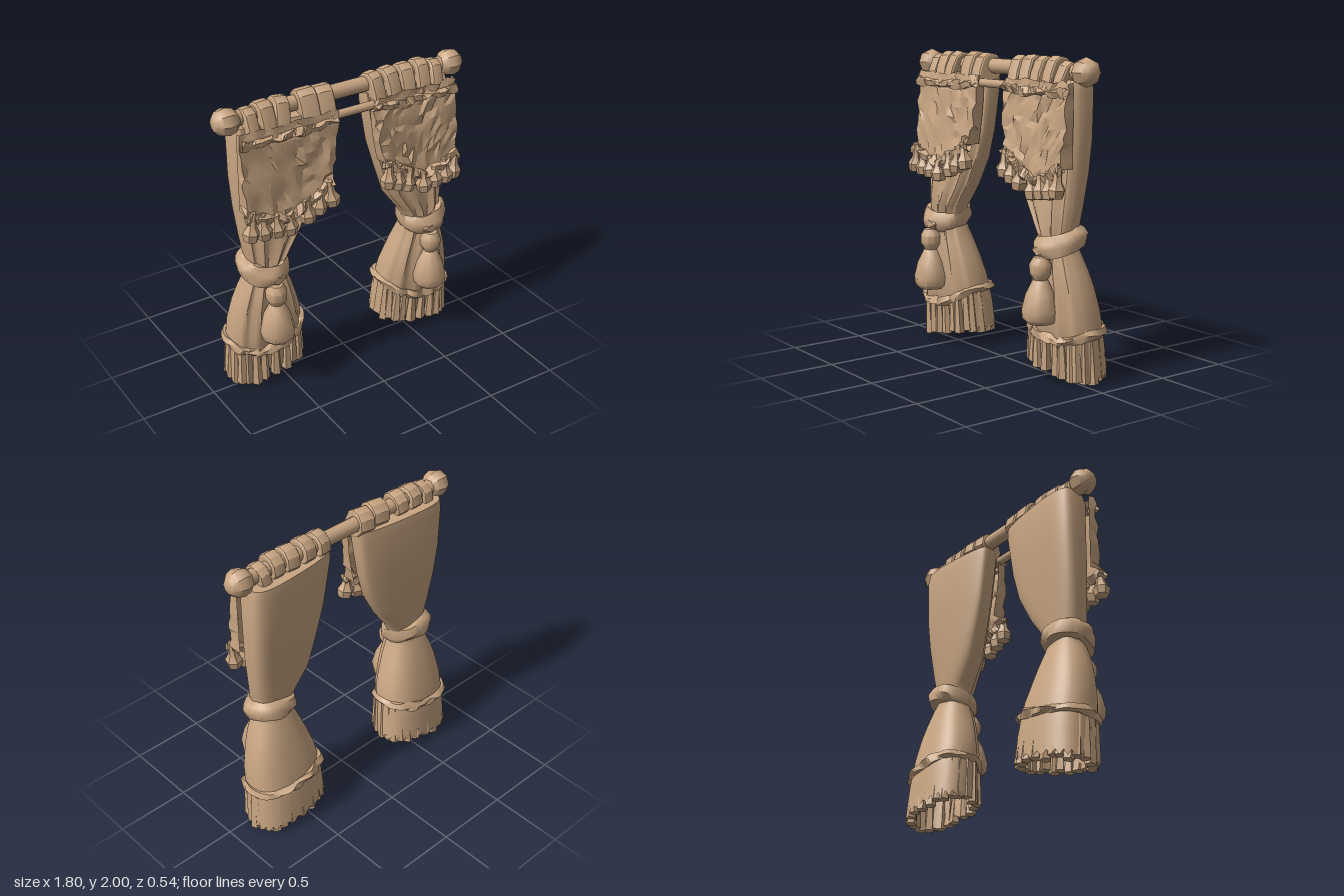
import * as THREE from 'three';
import { toCreasedNormals } from 'three/addons/utils/BufferGeometryUtils.js';

const cloth = new THREE.MeshStandardMaterial({ color: 0xc8a582, side: THREE.DoubleSide });
cloth.name = 'tan cloth';
const { clamp, lerp } = THREE.MathUtils;

// small seeded random, range -1..1
let seed = 7;
const rnd = () => {
  seed = (seed * 16807) % 2147483647;
  return (seed / 2147483647) * 2 - 1;
};

// adds a mesh; side -1 mirrors the geometry across x and restores the winding
function add(group, name, geometry, side = 1, crease = 0.7) {
  let g = geometry.index ? geometry.toNonIndexed() : geometry;
  if (side < 0) {
    const p = g.attributes.position;
    for (let i = 0; i < p.count; i++) p.setX(i, -p.getX(i));
    for (let i = 0; i < p.count; i += 3) {
      const a = new THREE.Vector3().fromBufferAttribute(p, i + 1);
      p.setXYZ(i + 1, p.getX(i + 2), p.getY(i + 2), p.getZ(i + 2));
      p.setXYZ(i + 2, a.x, a.y, a.z);
    }
  }
  g.deleteAttribute('uv');
  g.deleteAttribute('normal');
  g = toCreasedNormals(g, crease);
  const mesh = new THREE.Mesh(g, cloth);
  mesh.name = name;
  group.add(mesh);
}

// surface through rows of points (all rows the same length)
function surface(rows) {
  const n = rows[0].length, index = [];
  for (let r = 0; r < rows.length - 1; r++)
    for (let i = 0; i < n - 1; i++) {
      const a = r * n + i, b = a + 1, c = a + n, d = c + 1;
      index.push(a, c, b, b, c, d);
    }
  const g = new THREE.BufferGeometry().setFromPoints(rows.flat());
  g.setIndex(index);
  return g;
}

// one point of a curtain cross-section: [y, outer x, inner x, back z, front z, squareness]
// low sections rise towards the inner end and sag at the front; high ones thin out at the inner end
function ringPoint([y, xo, xi, zb, zf, p], t) {
  const c = Math.cos(t), s = Math.sin(t);
  const sx = Math.sign(c) * Math.abs(c) ** p, sz = Math.sign(s) * Math.abs(s) ** p;
  const inward = (1 - sx) / 2;
  const depth = s > 0 ? 0.016 * Math.cos(11 * t) * s : -0.055 * sz * inward ** 2 * clamp((y - 1) / 0.5, 0, 1);
  const low = clamp((0.6 - y) / 0.3, 0, 1);
  const sag = y > 0.2 ? 0.085 * Math.max(0, s) ** 2 : 0;
  return new THREE.Vector3((xo + xi) / 2 + (xo - xi) / 2 * sx, y + low * (0.08 * inward - sag),
    (zb + zf) / 2 + (zf - zb) / 2 * sz + depth);
}

// lumpy cord along points
function cord(points, radius, lump, closed = false, sides = 6) {
  const g = new THREE.TubeGeometry(new THREE.CatmullRomCurve3(points, closed), points.length * 2, radius, sides, closed);
  const p = g.attributes.position, ring = sides + 1;
  for (let i = 0; i < p.count; i++) {
    const row = Math.floor(i / ring) % (closed ? points.length * 2 : 1e6), k = (i % ring) % sides;
    const h = Math.sin(row * 12.9 + k * 4.1), m = Math.cos(row * 7.3 + k * 2.7);
    p.setXYZ(i, p.getX(i) + lump * 0.5 * m, p.getY(i) + lump * h, p.getZ(i) + lump * m);
  }
  return g;
}

const lathe = (pts, sides) => new THREE.LatheGeometry(pts.map(([x, y]) => new THREE.Vector2(x, y)), sides);

function curtain(side, inner, tabs) {
  const group = new THREE.Group();
  group.name = side > 0 ? 'leftCurtain' : 'rightCurtain';

  // gathered drape, top to bottom
  const hemRow = [0.32, 0.84, 0.335, -0.235, 0.11, 0.8];
  const profile = [
    [1.86, 0.75, inner + 0.02, -0.04, -0.03, 0.5],
    [1.86, 0.77, inner, -0.14, 0.06, 0.5],
    [1.8, 0.78, inner, -0.15, 0.08, 0.5],
    [1.5, 0.78, inner + 0.05, -0.145, 0.08, 0.55],
    [1.3, 0.77, inner + 0.11, -0.13, 0.09, 0.6],
    [1.1, 0.75, 0.32, -0.11, 0.1, 0.7],
    [0.95, 0.73, 0.43, -0.09, 0.11, 0.8],
    [0.87, 0.71, 0.47, -0.08, 0.1, 0.85],
    [0.8, 0.735, 0.455, -0.11, 0.11, 0.85],
    [0.7, 0.775, 0.415, -0.145, 0.12, 0.82],
    [0.6, 0.805, 0.38, -0.175, 0.12, 0.8],
    [0.45, 0.835, 0.345, -0.21, 0.12, 0.8],
    hemRow,
    [0.2, 0.845, 0.32, -0.25, 0.085, 0.8],
    [0.04, 0.85, 0.31, -0.265, 0.075, 0.8],
  ];
  const N = 48;
  const rows = profile.map((r, k) => Array.from({ length: N + 1 }, (_, i) => {
    const p = ringPoint(r, -i / N * Math.PI * 2);
    if (k === profile.length - 1) p.y += i % 2 ? 0.02 : -0.015; // jagged lower edge
    return p;
  }));
  add(group, 'drape', surface(rows), side, 0.9);

  // hem band
  const hem = Array.from({ length: 28 }, (_, i) => ringPoint(hemRow, i / 28 * Math.PI * 2));
  add(group, 'hemBand', cord(hem, 0.029, 0.011, true), side);

  // fringe tufts: proud at the front, lining the skirt at the back
  const tufts = 24;
  for (let i = 0; i < tufts; i++) {
    const t = i / tufts * Math.PI * 2;
    const top = ringPoint([0.31, 0.825, 0.345, -0.21, 0.1, 0.8], t);
    const low = ringPoint([0.02, 0.825, 0.335, -0.235, 0.09, 0.8], t);
    low.y += 0.014 * rnd();
    low.x += 0.008 * rnd();
    const dir = top.clone().sub(low), len = dir.length();
    const g = new THREE.CylinderGeometry(0.022, 0.037, len, 5);
    g.rotateY(i);
    g.applyQuaternion(new THREE.Quaternion().setFromUnitVectors(new THREE.Vector3(0, 1, 0), dir.normalize()));
    g.translate((top.x + low.x) / 2, (top.y + low.y) / 2, (top.z + low.z) / 2);
    add(group, 'fringeTuft', g, side);
  }

  // tieback, tilted down towards the front
  const tie = Array.from({ length: 12 }, (_, i) => {
    const t = i / 12 * Math.PI * 2, c = Math.cos(t), s = Math.sin(t);
    return new THREE.Vector3(0.612 + 0.123 * c, (0.875 + 0.02 * c - 0.035 * s) / 1.3, 0.015 + 0.113 * s);
  });
  const tieGeo = cord(tie, 0.053, 0.008, true, 8);
  tieGeo.scale(1, 1.3, 1);
  add(group, 'tieback', tieGeo, side, 0.9);

  // tassel: knot, ball and bell
  const knot = new THREE.IcosahedronGeometry(0.06, 0);
  knot.scale(1.2, 0.8, 0.75).translate(0.59, 0.825, 0.145);
  add(group, 'tasselKnot', knot, side);
  const tassel = lathe([[0, 0.8], [0.045, 0.79], [0.07, 0.745], [0.068, 0.69], [0.045, 0.65], [0.055, 0.635],
    [0.092, 0.56], [0.117, 0.46], [0.11, 0.405], [0.085, 0.38], [0, 0.38]], 9);
  tassel.translate(0.598, 0, 0.155);
  add(group, 'tassel', tassel, side, 0.8);

  // valance: crumpled front panel with a pointed lower edge and returned sides
  const edgeY = u => u < 0.55 ? lerp(1.4, 1.235, u / 0.55) : lerp(1.235, 1.335, (u - 0.55) / 0.45);
  const at = (u, v) => new THREE.Vector3(
    lerp(inner + 0.01 + 0.06 * v * v, 0.78, u), lerp(1.85, edgeY(u), v), 0.105 + 0.048 * v);
  const valance = [];
  for (let j = 0; j <= 10; j++) {
    const row = [];
    for (let i = 0; i <= 16; i++) {
      const p = at(clamp((i - 1) / 14, 0, 1), j / 10);
      if (i === 0 || i === 16) p.z = 0.06;
      else p.add(new THREE.Vector3(rnd() * 0.014, rnd() * 0.014, rnd() * 0.012));
      row.push(p);
    }
    valance.push(row);
  }
  add(group, 'valance', surface(valance), side, 0.4);
  const strip = (v, n) => Array.from({ length: n }, (_, i) => at(i / (n - 1), v).add(new THREE.Vector3(0, rnd() * 0.008, 0)));
  add(group, 'valanceTopTrim', cord(strip(0.12, 15), 0.027, 0.011), side, 0.4);
  add(group, 'valanceLowerTrim', cord(strip(1, 15), 0.034, 0.012), side, 0.4);

  // pompoms on short stems along the valance edge: [position along edge, drop]
  [[0.04, 0.05], [0.17, 0.04], [0.32, 0.03], [0.53, 0.01], [0.68, 0.02], [0.83, 0.045], [0.96, 0.06]].forEach(([u, drop], i) => {
    const p = at(u, 1);
    const g = lathe([[0, 0.03 + drop], [0.022, 0.03 + drop], [0.03, 0], [0.056, -0.045], [0.045, -0.095], [0, -0.105]], 6);
    g.rotateY(i).rotateZ((u - 0.5) * 0.3 + rnd() * 0.25);
    g.translate(p.x, p.y - drop, p.z + 0.008);
    add(group, 'pompom', g, side, 0.4);
  });

  // cloth loops over the rod, each a little askew
  tabs.forEach(([x, w], i) => {
    const drop = i === tabs.length - 1 ? 0.03 : 0.006 + 0.006 * rnd();
    const outline = [[-0.05, 1.84], [-0.086, 1.89], [-0.075, 1.95], [-0.04, 1.985], [0.01, 1.995], [0.05, 1.97], [0.08, 1.9], [0.1, 1.81], [0.04, 1.8]];
    const shape = new THREE.Shape(outline.map(([z, y]) => new THREE.Vector2(-z, y - 1.9 - drop)));
    const g = new THREE.ExtrudeGeometry(shape, { depth: w - 0.04, bevelSize: 0.012, bevelOffset: -0.006, bevelThickness: 0.02, bevelSegments: 2 });
    g.translate(0, 0, -w / 2 + 0.02).rotateY(Math.PI / 2);
    g.rotateZ(rnd() * 0.12).rotateY(rnd() * 0.12).translate(x, 1.9, 0);
    add(group, 'rodLoop', g, side, 0.5);
  });
  return group;
}

export function createModel() {
  const model = new THREE.Group();
  model.name = 'curtains';

  // main rod, lower rod and end knobs
  const rod = (name, r, y, z, length) => {
    const g = new THREE.CylinderGeometry(r, r, length, 10);
    g.rotateZ(Math.PI / 2).translate(0, y, z);
    add(model, name, g);
  };
  rod('mainRod', 0.05, 1.91, -0.015, 1.56);
  rod('valanceRod', 0.028, 1.805, 0.08, 1.5);
  for (const side of [-1, 1]) {
    const knob = new THREE.SphereGeometry(0.09, 8, 6);
    knob.rotateZ(Math.PI / 2).translate(0.81, 1.908, -0.01);
    add(model, 'rodKnob', knob, side, 0.6);
  }

  model.add(curtain(1, 0.15, [[0.21, 0.09], [0.325, 0.095], [0.445, 0.095], [0.56, 0.09], [0.665, 0.08]]));
  model.add(curtain(-1, 0.1, [[0.155, 0.115], [0.275, 0.125], [0.46, 0.095], [0.57, 0.1], [0.675, 0.08]]));
  return model;
}
